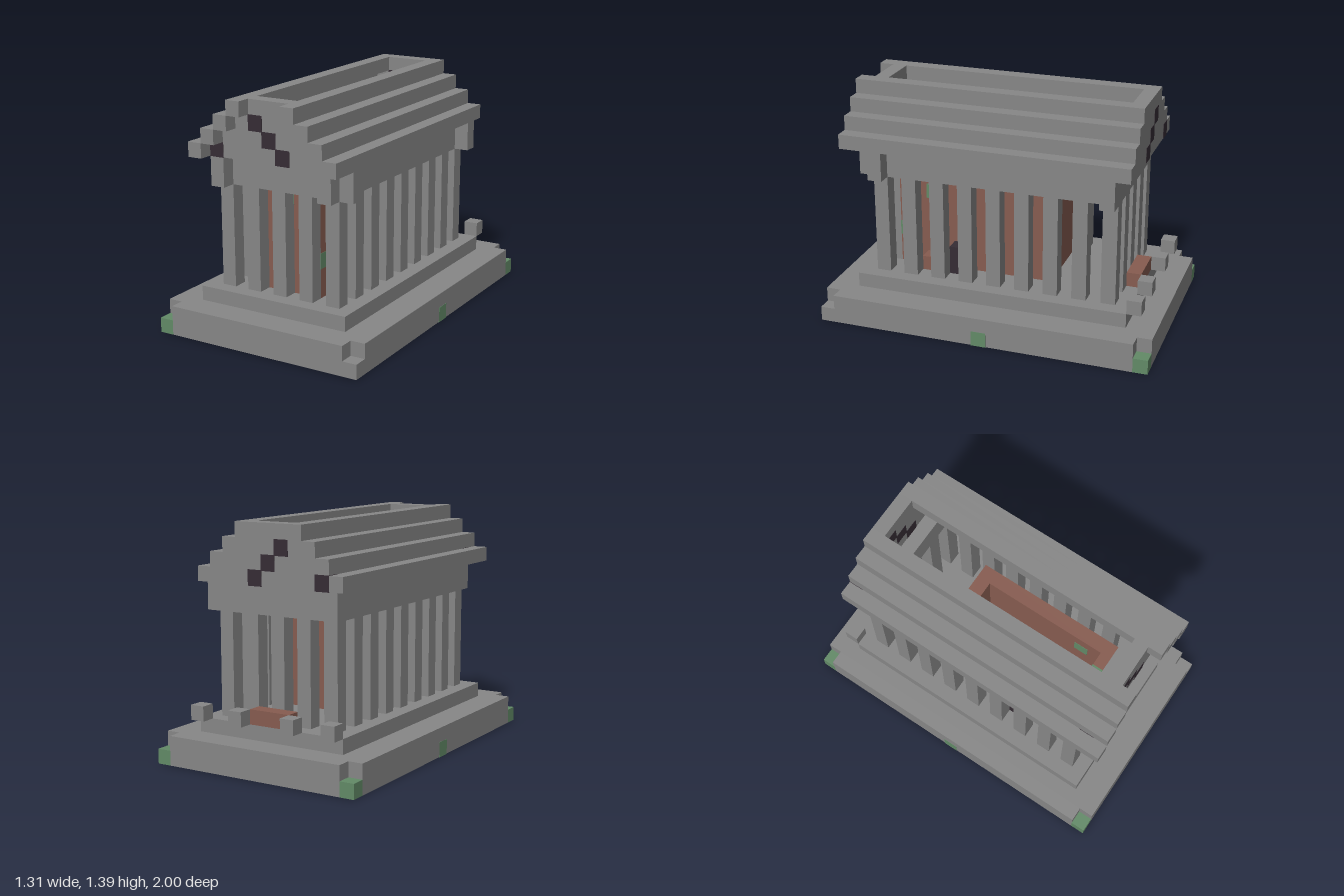
import * as THREE from 'three';

const U = 2 / 23; // edge of one block

const material = (name, color) => {
  const m = new THREE.MeshStandardMaterial({ color });
  m.name = name;
  return m;
};

export function createModel() {
  const model = new THREE.Group();
  model.name = 'ruinedTemple';
  const stone = material('grey stone', 0x878787);
  const brick = material('red clay', 0x875c50);
  const moss = material('moss green', 0x628a67);
  const dark = material('dark stone', 0x352c34);

  // Box spanning whole blocks: inclusive [from, to] ranges, or one index per axis
  const block = (name, mat, x, y, z, grow = 0) => {
    const [[x0, x1], [y0, y1], [z0, z1]] = [x, y, z].map((r) => (Array.isArray(r) ? r : [r, r]));
    const size = [x1 - x0 + 1, y1 - y0 + 1, z1 - z0 + 1].map((n) => n * U + grow);
    const mesh = new THREE.Mesh(new THREE.BoxGeometry(...size), mat);
    mesh.position.set((x0 + x1) / 2 * U, (y0 + y1 + 1) / 2 * U, (z0 + z1) / 2 * U);
    mesh.name = name;
    model.add(mesh);
  };
  const PAINT = 0.004; // lets coloured blocks stand just proud of the wall

  // Stepped base with chipped upper corners
  block('base', stone, [-6, 6], [0, 1], [-11, 11]);
  for (const s of [-1, 1]) block('baseSide', stone, 7 * s, [0, 1], [-10, 10]);
  block('baseCorner', stone, 7, 0, 11);
  for (const [x, z] of [[-7, 11], [-7, -11], [7, -11]]) block('mossyCorner', moss, x, 0, z);
  for (const s of [-1, 1]) block('mossPatch', moss, 7 * s, 0, 0, PAINT);
  block('stylobate', stone, [-5, 5], 2, [-9, 9]);

  // Moss spots under the base
  const spots = [[-1, -6], [-3, -8], [1, -5], [2, -3], [4, 1], [3, 2], [6, 6], [-6, -8], [-6, -7],
    [-5, -5], [-6, -4], [-4, -4], [-4, -1], [1, 4], [2, 6], [3, 8], [2, 9], [0, 7], [0, 9],
    [-2, 4], [-3, 7]];
  const spotGeometry = new THREE.CircleGeometry(0.4 * U, 10).rotateX(Math.PI / 2);
  for (const [x, z] of spots) {
    const spot = new THREE.Mesh(spotGeometry, moss);
    spot.position.set(x * U, -0.002, z * U);
    spot.name = 'mossSpot';
    model.add(spot);
  }

  // Colonnade around all four sides
  for (let z = -8; z <= 8; z += 2) {
    for (const s of [-1, 1]) block('sideColumn', stone, 4 * s, [3, 9], z);
  }
  for (const x of [-2, 0, 2]) {
    for (const s of [-1, 1]) block('endColumn', stone, x, [3, 9], 8 * s);
  }

  // Open-topped inner chamber
  for (const s of [-1, 1]) block('chamberSideWall', brick, 2 * s, [3, 9], [-3, 7]);
  for (const z of [-3, 7]) block('chamberEndWall', brick, [-1, 1], [3, 9], z);
  block('wallMoss', moss, 2, 8, 5, PAINT);
  block('wallMoss', moss, 2, 5, 7, PAINT);
  block('wallMoss', moss, 0, 9, 7, PAINT);

  // Rubble
  block('chamberRubble', stone, 0, 3, 6);
  block('clayRubble', brick, 3, 3, 5);
  for (const s of [-1, 1]) block('darkRubble', dark, 3 * s, [3, 4], 3);
  block('fallenBeam', brick, [-1, 1], 3, -9);
  for (const x of [-5, -2, 2, 5]) block('rearRubble', stone, x, 3, -10);

  // Entablature ring with its remaining corner pieces
  for (const s of [-1, 1]) {
    block('sideEntablature', stone, 4 * s, [10, 11], [-8, 8]);
    block('endEntablature', stone, [-3, 3], [10, 11], 8 * s);
    block('frontCornerPiece', stone, 4 * s, [10, 11], 9);
    block('sideCornerPiece', stone, 5, [10, 11], 8 * s);
  }

  // Stepped hollow roof and the gables closing its ends
  for (let i = 0; i < 4; i++) {
    for (const s of [-1, 1]) {
      block('roofStep', stone, (5 - i) * s, 12 + i, [-9, 10]);
      block('gableRow', stone, [i - 4, 4 - i], 12 + i, 9 * s);
    }
  }
  for (const [x, y] of [[-1, 14], [0, 13], [1, 12], [-4, 12]]) {
    for (const s of [-1, 1]) block('gableDarkStone', dark, x, y, 9 * s, PAINT);
  }
  return model;
}
